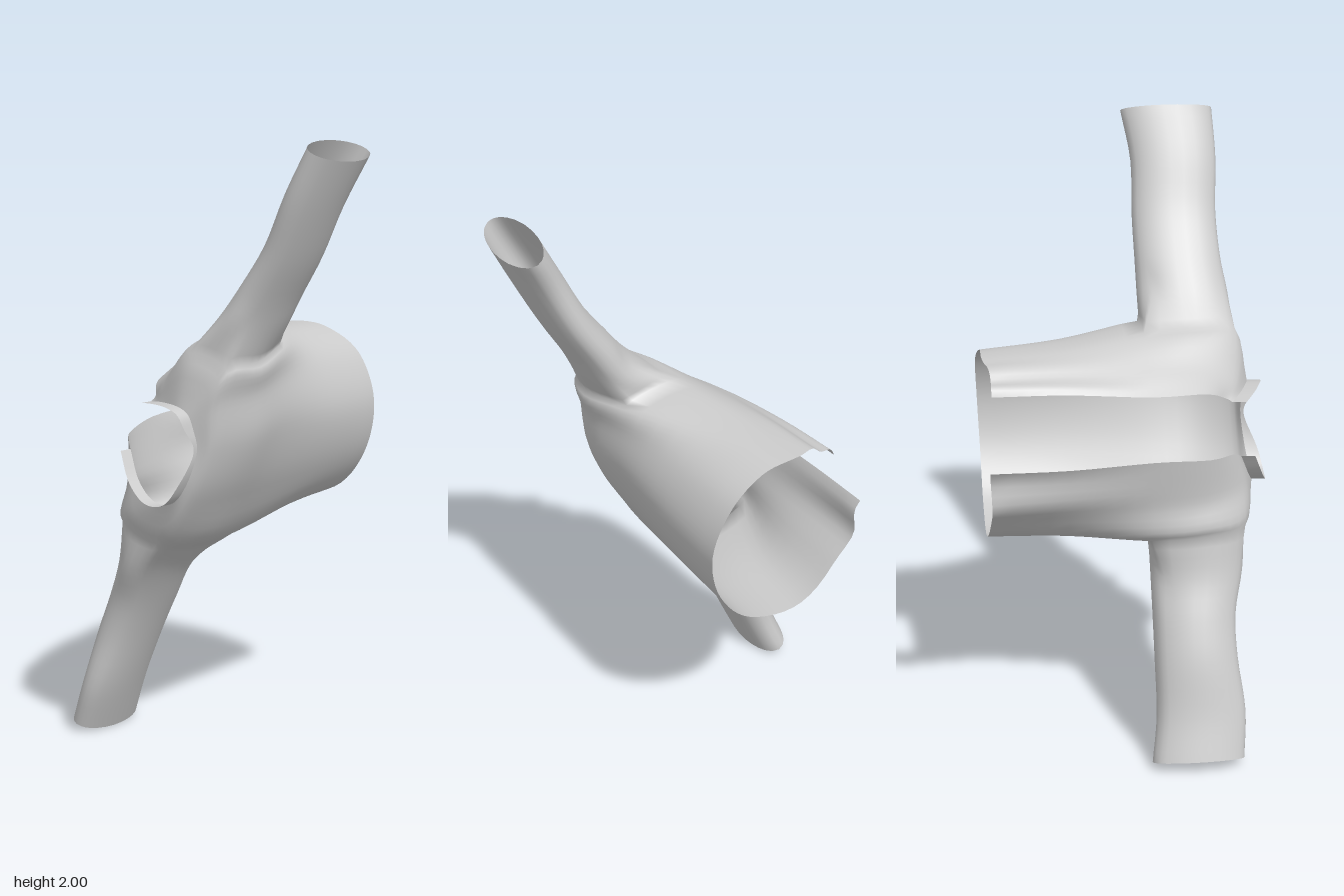
import * as THREE from 'three';

const material = new THREE.MeshStandardMaterial({ color: 0xcccccc, side: THREE.DoubleSide });

// Smooth curve through a list of points, sampled evenly per span
function sample(points, perSpan) {
  const curve = new THREE.CatmullRomCurve3(points, false, 'catmullrom', 0.5);
  return curve.getPoints((points.length - 1) * perSpan);
}

// Surface through rows of points; skip(row, col) leaves holes
function surface(name, rows, skip = () => false) {
  const w = rows[0].length, pos = [], index = [];
  rows.forEach(r => r.forEach(p => pos.push(p.x, p.y, p.z)));
  for (let i = 0; i < rows.length - 1; i++) {
    for (let j = 0; j < w - 1; j++) {
      if (skip(i, j)) continue;
      const a = i * w + j, b = a + 1, c = a + w, d = c + 1;
      index.push(a, b, d, a, d, c);
    }
  }
  const g = new THREE.BufferGeometry();
  g.setAttribute('position', new THREE.Float32BufferAttribute(pos, 3));
  g.setIndex(index);
  g.computeVertexNormals();
  const mesh = new THREE.Mesh(g, material);
  mesh.name = name;
  return mesh;
}

// Average the normals where parts share points, so the seams shade smoothly
function blendSeams(meshes) {
  const sums = new Map();
  const visit = fn => meshes.forEach(({ geometry: { attributes: { position, normal } } }) => {
    for (let i = 0; i < position.count; i++) {
      const p = new THREE.Vector3().fromBufferAttribute(position, i);
      fn(p.toArray().map(v => Math.round(v * 1e4)).join(), normal, i);
    }
  });
  visit((key, normal, i) => {
    const n = new THREE.Vector3().fromBufferAttribute(normal, i);
    if (sums.has(key)) sums.get(key).add(n);
    else sums.set(key, n);
  });
  visit((key, normal, i) => {
    const n = sums.get(key).clone().normalize();
    normal.setXYZ(i, n.x, n.y, n.z);
  });
}

const section = list => list.map(p => new THREE.Vector3(...p));
const atZ = (z, list) => section(list.map(p => [...p, z]));

// Body cross-sections, from one front edge around the back to the other
const hem = section([[-0.29, 1.27, -0.44], [-0.22, 1.32, -0.44], [-0.12, 1.335, -0.46], [0, 1.32, -0.46],
  [0.12, 1.24, -0.47], [0.185, 1.08, -0.465], [0.15, 0.9, -0.46], [0.03, 0.765, -0.46],
  [-0.17, 0.735, -0.46], [-0.35, 0.885, -0.45], [-0.395, 1.055, -0.455]]);
const waist = atZ(-0.2, [[-0.275, 1.26], [-0.2, 1.31], [-0.1, 1.345], [0.04, 1.33], [0.14, 1.24],
  [0.19, 1.08], [0.14, 0.89], [0.02, 0.75], [-0.2, 0.735], [-0.335, 0.885], [-0.385, 1.05]]);
const underarm = atZ(0.07, [[-0.25, 1.23], [-0.17, 1.29], [-0.03, 1.365], [0.16, 1.335], [0.185, 1.23],
  [0.19, 1.08], [0.115, 0.87], [-0.03, 0.69], [-0.29, 0.745], [-0.32, 0.88], [-0.355, 1.05]]);
const chest = atZ(0.25, [[-0.195, 1.21], [-0.12, 1.27], [0, 1.365], [0.2, 1.305], [0.198, 1.2],
  [0.185, 1.05], [0.1, 0.86], [-0.045, 0.68], [-0.3, 0.755], [-0.295, 0.88], [-0.31, 1.03]]);
const shoulder = section([[-0.15, 1.175, 0.32], [-0.09, 1.225, 0.355], [0.03, 1.335, 0.38], [0.165, 1.295, 0.372],
  [0.147, 1.18, 0.383], [0.13, 1.04, 0.38], [0.06, 0.87, 0.385], [-0.075, 0.71, 0.383],
  [-0.24, 0.76, 0.38], [-0.23, 0.89, 0.37], [-0.25, 1.02, 0.335]]);
const neck = section([[-0.15, 1.16, 0.345], [-0.08, 1.17, 0.385], [0, 1.17, 0.415], [0.05, 1.15, 0.42],
  [0.07, 1.1, 0.415], [0.08, 1.03, 0.41], [0.05, 0.93, 0.42], [0, 0.86, 0.43],
  [-0.08, 0.855, 0.425], [-0.16, 0.91, 0.4], [-0.22, 1.0, 0.365]]);

const U = 6, V = 4;                 // subdivisions around and along the body
const HOLE = [2 * V, 4 * V];        // armhole rows
const ARMS = [[2 * U, 3 * U], [7 * U, 8 * U]]; // armhole columns

function bodyGrid() {
  const around = [hem, waist, underarm, chest, shoulder, neck].map(s => sample(s, U));
  const columns = around[0].map((_, j) => sample(around.map(r => r[j]), V));
  const rows = columns[0].map((_, i) => columns.map(c => c[i]));
  // Soft folds in both front panels, fading out toward the shoulder
  rows.forEach((row, i) => row.forEach((p, j) => {
    const edge = Math.min(j, row.length - 1 - j), fade = Math.max(0, 1 - i / (2 * V));
    if (edge < 2 * U) {
      const d = 0.014 * fade * Math.sin(edge) * (1 - edge / (2 * U));
      p.x += d * (j < 30 ? -0.3 : 1);
      p.y += d * (j < 30 ? 1 : 0.3);
    }
  }));
  return rows;
}

// Sleeve rings: [outer front x, y, outer back x, y, lowest z, highest z]
const upperRings = [[0.085, 1.46, 0.25, 1.41, 0.07, 0.37], [0.16, 1.56, 0.295, 1.5, 0.07, 0.355],
  [0.25, 1.69, 0.37, 1.63, 0.07, 0.35], [0.33, 1.85, 0.45, 1.79, 0.075, 0.36], [0.41, 2, 0.525, 1.94, 0.05, 0.355]];
const lowerRings = [[-0.328, 0.62, -0.125, 0.59, 0.07, 0.375], [-0.385, 0.49, -0.2, 0.46, 0.07, 0.345],
  [-0.435, 0.36, -0.27, 0.32, 0.07, 0.345], [-0.48, 0.19, -0.345, 0.15, 0.07, 0.365], [-0.53, 0.05, -0.41, 0, 0.05, 0.355]];

// Sleeve that grows out of the rim of its armhole
function sleeve(name, grid, [c0, c1], rings) {
  const [r0, r1] = HOLE, rim = [];
  for (let j = c0; j < c1; j++) rim.push(grid[r0][j]);
  for (let i = r0; i < r1; i++) rim.push(grid[i][c1]);
  for (let j = c1; j > c0; j--) rim.push(grid[r1][j]);
  for (let i = r1; i >= r0; i--) rim.push(grid[i][c0]);
  const mid = new THREE.Box3().setFromPoints(rim).getCenter(new THREE.Vector3());
  const across = p => (p.x - mid.x) * 0.89 - (p.y - mid.y) * 0.45;
  const half = Math.max(...rim.map(p => Math.abs(across(p))));
  const columns = rim.map(p => {
    const a = Math.atan2((p.z - mid.z) / 0.158, across(p) / half);
    const path = rings.map(([x0, y0, x1, y1, z0, z1]) => {
      const t = 0.5 + 0.5 * Math.cos(a);
      return new THREE.Vector3(x0 + (x1 - x0) * t, y0 + (y1 - y0) * t,
        (z0 + z1) / 2 + (z1 - z0) / 2 * Math.sin(a));
    });
    return sample([p, ...path], 4);
  });
  return surface(name, columns[0].map((_, i) => columns.map(c => c[i])));
}

export function createModel() {
  const group = new THREE.Group();
  group.name = 'openJacket';

  // Open-fronted body with two armholes
  const grid = bodyGrid();
  const body = surface('body', grid, (i, j) =>
    i >= HOLE[0] && i < HOLE[1] && ARMS.some(([a, b]) => j >= a && j < b));

  // Sleeves
  const upper = sleeve('upperSleeve', grid, ARMS[0], upperRings);
  const lower = sleeve('lowerSleeve', grid, ARMS[1], lowerRings);
  blendSeams([body, upper, lower]);
  group.add(body, upper, lower);

  // Standing collar, lowest at the nape
  const base = grid[grid.length - 1];
  const top = base.map((p, j) => {
    const nape = Math.exp(-(((j - 5 * U) / 5) ** 2));
    return new THREE.Vector3(p.x - 0.005, p.y, p.z + 0.045 - 0.035 * nape);
  });
  group.add(surface('collar', [base, top]));
  return group;
}
